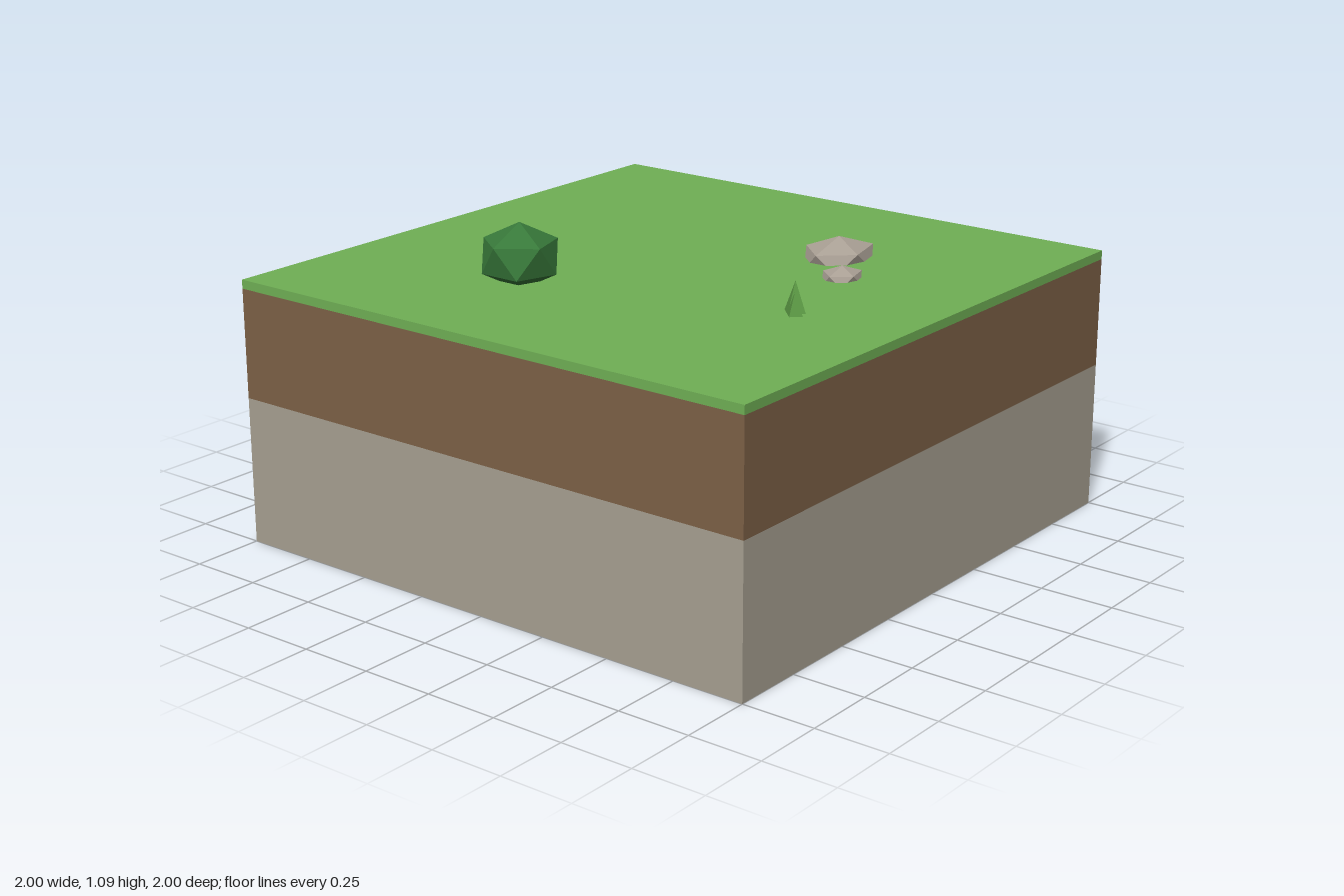
import * as THREE from 'three';

const GROUND = 0.9;

function makeMaterial(name, color) {
  const material = new THREE.MeshStandardMaterial({ color });
  material.name = name;
  return material;
}

function makeMesh(name, geometry, material, x, y, z) {
  const mesh = new THREE.Mesh(geometry, material);
  mesh.name = name;
  mesh.position.set(x, y, z);
  return mesh;
}

// Faceted twenty-sided lump standing on one point, stretched to three radii
function lump(rx, ry, rz) {
  const geometry = new THREE.IcosahedronGeometry(1, 0);
  geometry.rotateZ(Math.atan(2 / (1 + Math.sqrt(5))));
  geometry.scale(rx, ry, rz);
  geometry.computeVertexNormals();
  return geometry;
}

// Four-sided spike with its base at the origin
function spike(radius, height) {
  const geometry = new THREE.ConeGeometry(radius, height, 4).toNonIndexed();
  geometry.translate(0, height / 2, 0);
  geometry.computeVertexNormals();
  return geometry;
}

export function createModel() {
  const grass = makeMaterial('grass green', 0x70b055);
  const soil = makeMaterial('soil brown', 0x7d6147);
  const stone = makeMaterial('bedrock grey', 0xa8a192);
  const leaf = makeMaterial('bush green', 0x38793a);
  const rock = makeMaterial('rock grey', 0xaaa095);
  const blade = makeMaterial('blade green', 0x5c9a45);

  const model = new THREE.Group();
  model.name = 'groundTile';

  // Ground layers, from the bottom up
  const layers = [
    ['stoneLayer', 0, 0.5, stone],
    ['soilLayer', 0.5, 0.87, soil],
    ['grassLayer', 0.87, GROUND, grass],
  ];
  for (const [name, bottom, top, material] of layers) {
    const box = new THREE.BoxGeometry(2, top - bottom, 2);
    model.add(makeMesh(name, box, material, 0, (bottom + top) / 2, 0));
  }

  // Bush, slightly sunk into the turf
  model.add(makeMesh('bush', lump(0.14, 0.112, 0.14), leaf, -0.45, 0.978, -0.3));

  // Half-buried rocks
  model.add(makeMesh('largeRock', lump(0.15, 0.07, 0.12), rock, 0.4, GROUND, 0.35));
  model.add(makeMesh('smallRock', lump(0.08, 0.04, 0.07), rock, 0.2, GROUND, 0.5));

  // Grass tuft
  const tuft = new THREE.Group();
  tuft.name = 'grassTuft';
  tuft.add(makeMesh('tallBlade', spike(0.04, 0.1), blade, -0.2, GROUND, 0.6));
  tuft.add(makeMesh('shortBlade', spike(0.03, 0.075), blade, -0.23, GROUND, 0.62));
  model.add(tuft);

  return model;
}
